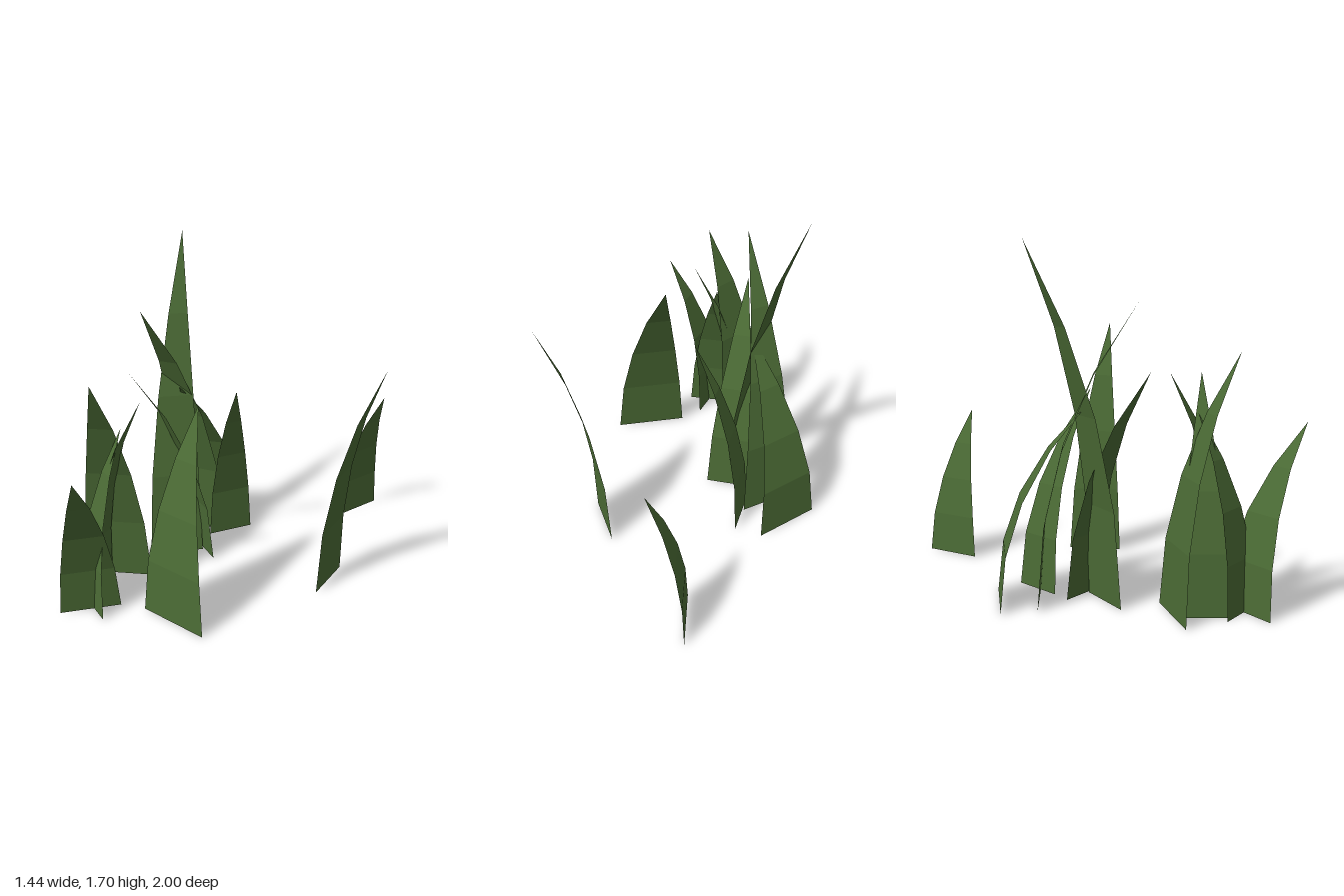
import * as THREE from 'three';

const SEGMENTS = 4;

// Flat tapering blade between two ground corners, arching over to its tip
function bladeGeometry([ax, az], [bx, bz], [tx, ty, tz]) {
  const cx = (ax + bx) / 2, cz = (az + bz) / 2;
  const positions = [], index = [];
  for (let i = 0; i < SEGMENTS; i++) {
    const t = i / SEGMENTS;
    const bend = t * t;
    const taper = 1 - Math.pow(t, 1.5);
    const y = ty * (1.1 * t - 0.1 * t * t);
    const x = cx + (tx - cx) * bend, z = cz + (tz - cz) * bend;
    positions.push(x + (ax - cx) * taper, y, z + (az - cz) * taper);
    positions.push(x + (bx - cx) * taper, y, z + (bz - cz) * taper);
    const k = i * 2;
    if (i < SEGMENTS - 1) index.push(k, k + 1, k + 3, k, k + 3, k + 2);
    else index.push(k, k + 1, k + 2);
  }
  positions.push(tx, ty, tz);
  const geometry = new THREE.BufferGeometry();
  geometry.setAttribute('position', new THREE.Float32BufferAttribute(positions, 3));
  geometry.setIndex(index);
  const flat = geometry.toNonIndexed();
  flat.computeVertexNormals();
  return flat;
}

// Each blade: ground corner [x, z], ground corner [x, z], tip [x, y, z]
const CLUMPS = {
  strayBlades: [
    [[0.20, -0.72], [0.32, -1.0], [0.43, 0.78, -0.78]],
    [[0.44, 0.05], [0.445, -0.23], [0.72, 1.25, -0.04]],
    [[-0.245, 0.60], [0.13, 0.66], [-0.06, 1.06, 0.35]],
  ],
  backClump: [
    [[-0.64, -0.38], [-0.30, -0.47], [-0.40, 0.96, 0.0]],
    [[-0.19, 0.03], [-0.41, -0.11], [-0.50, 1.11, 0.29]],
    [[-0.51, 0.16], [-0.29, -0.02], [-0.54, 1.70, -0.28]],
    [[-0.58, -0.22], [-0.29, -0.26], [-0.46, 1.42, 0.23]],
    [[-0.34, -0.18], [-0.19, -0.38], [-0.08, 0.98, -0.04]],
  ],
  frontClump: [
    [[-0.72, 0.47], [-0.39, 0.33], [-0.43, 1.20, 0.69]],
    [[-0.59, 0.84], [-0.37, 0.63], [-0.31, 0.87, 1.0]],
    [[-0.58, 0.42], [-0.55, 0.66], [-0.28, 1.09, 0.51]],
    [[-0.60, 0.65], [-0.37, 0.78], [-0.41, 0.92, 0.50]],
  ],
};

export function createModel() {
  const model = new THREE.Group();
  model.name = 'grass';
  const grassGreen = new THREE.MeshStandardMaterial({ color: 0x4b6b35, side: THREE.DoubleSide });
  grassGreen.name = 'grass green';

  for (const [name, blades] of Object.entries(CLUMPS)) {
    const clump = new THREE.Group();
    clump.name = name;
    blades.forEach((blade, i) => {
      const mesh = new THREE.Mesh(bladeGeometry(...blade), grassGreen);
      mesh.name = `grassBlade${i + 1}`;
      clump.add(mesh);
    });
    model.add(clump);
  }
  return model;
}
